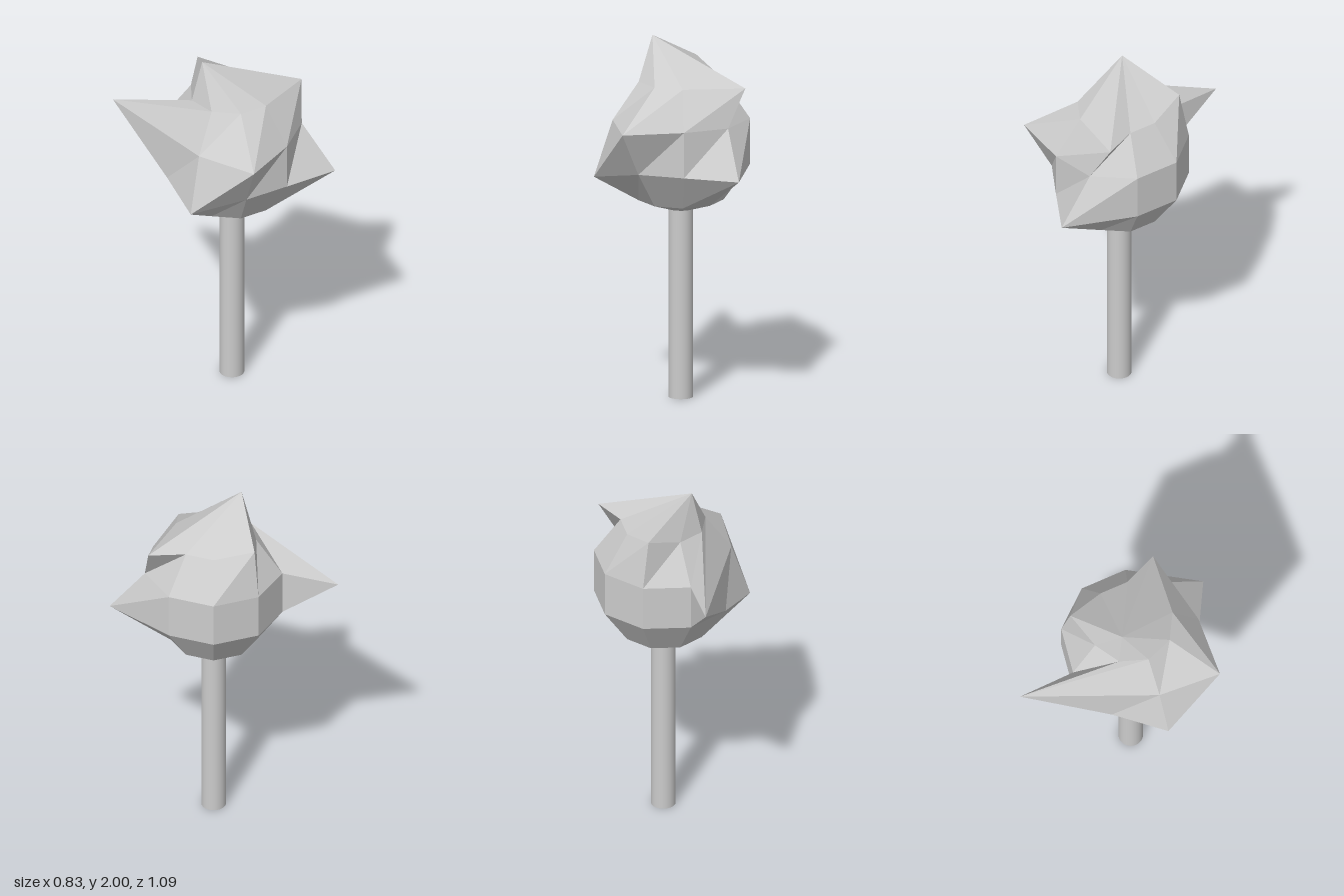
import * as THREE from 'three';

const CX = 0.033, CZ = 0.08;   // axis of trunk and crown
const CENTER_Y = 1.44, RADIUS = 0.41;
const SIDES = 9, RINGS = 5;

// Corners of the crown pulled out of the ball: 'ring,side' -> [x, y, z]
const PULLED = {
  '1,1': [0.405, 1.77, 0.23],
  '1,7': [0.075, 1.83, -0.245],
  '2,3': [-0.225, 1.565, 0.545],
  '2,5': [-0.273, 1.565, -0.545],
  '3,1': [0.405, 1.313, 0.503],
  '3,4': [-0.42, 1.255, 0.25],
};

// Corner on a ring of the ball; ring 1 is near the top
function corner(ring, side) {
  const k = side % SIDES;
  const pulled = PULLED[`${ring},${k}`];
  if (pulled) return pulled;
  const polar = (ring / RINGS) * Math.PI;
  const turn = (k / SIDES) * Math.PI * 2;
  const r = Math.sin(polar) * 0.398;
  return [CX + r * Math.cos(turn), CENTER_Y + RADIUS * Math.cos(polar), CZ + r * Math.sin(turn)];
}

// Faceted ball with a tilted peak and pulled spikes
function crownGeometry() {
  const peak = [-0.13, 2, 0.02];
  const base = [CX, CENTER_Y - RADIUS, CZ];
  const points = [];
  for (let k = 0; k < SIDES; k++) {
    points.push(...peak, ...corner(1, k + 1), ...corner(1, k));
    for (let ring = 1; ring < RINGS - 1; ring++) {
      const a = corner(ring, k), b = corner(ring, k + 1);
      const c = corner(ring + 1, k + 1), d = corner(ring + 1, k);
      points.push(...a, ...b, ...c, ...a, ...c, ...d);
    }
    points.push(...base, ...corner(RINGS - 1, k), ...corner(RINGS - 1, k + 1));
  }
  const geometry = new THREE.BufferGeometry();
  geometry.setAttribute('position', new THREE.Float32BufferAttribute(points, 3));
  geometry.computeVertexNormals();
  return geometry;
}

export function createModel() {
  const model = new THREE.Group();
  model.name = 'tree';

  // Straight round trunk, its top hidden in the crown
  const height = 1.12;
  const trunk = new THREE.Mesh(
    new THREE.CylinderGeometry(0.067, 0.067, height, 32),
    new THREE.MeshStandardMaterial({ color: 0xcccccc })
  );
  trunk.name = 'trunk';
  trunk.position.set(CX, height / 2, CZ);

  const crown = new THREE.Mesh(
    crownGeometry(),
    new THREE.MeshStandardMaterial({ color: 0xcccccc, flatShading: true })
  );
  crown.name = 'crown';

  model.add(trunk, crown);
  return model;
}
